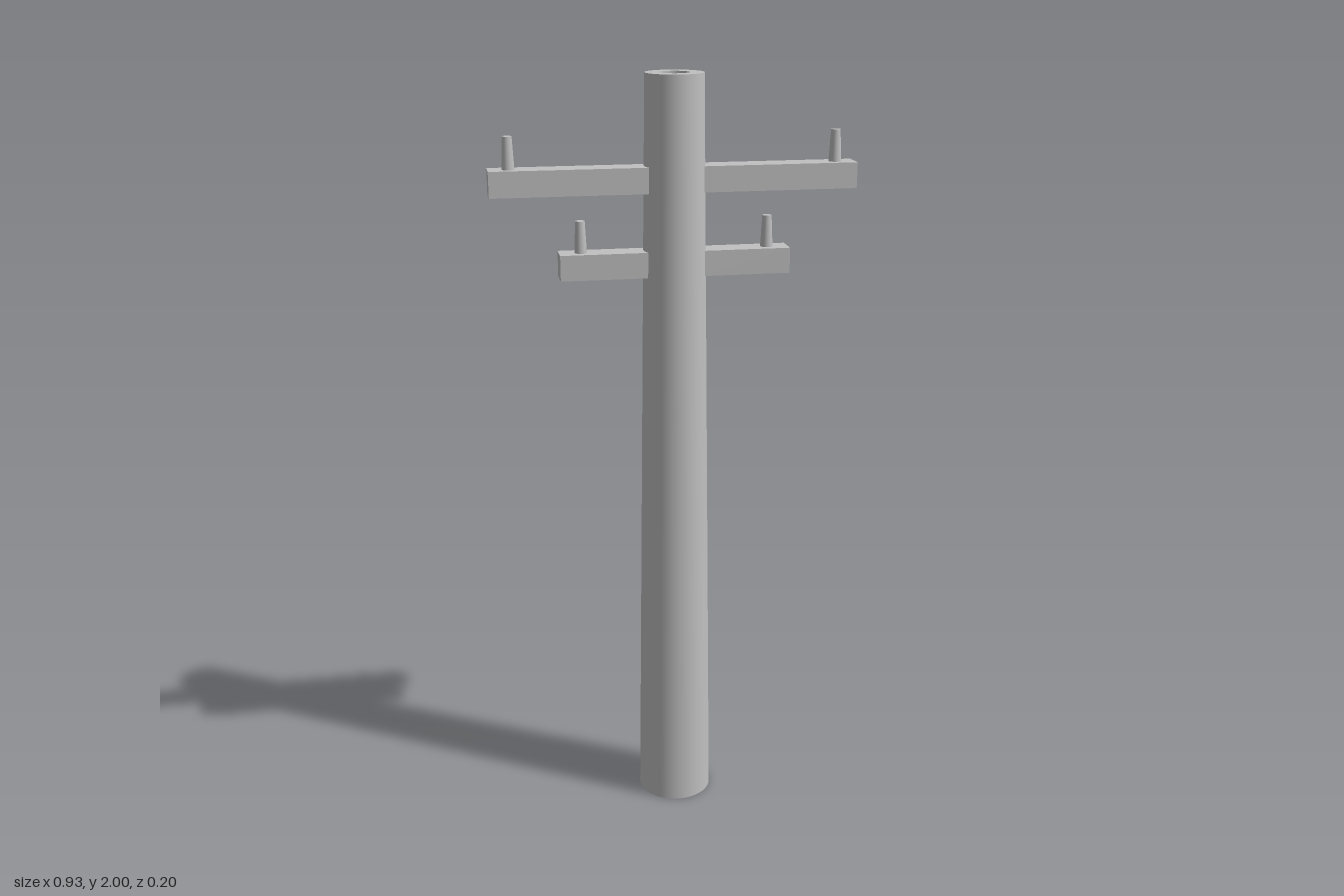
import * as THREE from 'three';
import { mergeGeometries } from 'three/addons/utils/BufferGeometryUtils.js';

export function createModel() {
  const group = new THREE.Group();
  const concrete = new THREE.MeshStandardMaterial({ color: 0xc0c0c0 });
  concrete.name = 'concrete grey';

  const add = (name, geometry, x = 0, y = 0) => {
    const mesh = new THREE.Mesh(geometry, concrete);
    mesh.name = name;
    mesh.position.set(x, y, 0);
    group.add(mesh);
  };

  // Tapered hollow pole: outer wall, top rim, bore, bottom rim (each lathed apart for crisp edges)
  const section = [[0.1, 0], [0.074, 2], [0.037, 2], [0.037, 0]].map(p => new THREE.Vector2(...p));
  const walls = section.map((p, i) => new THREE.LatheGeometry([p, section[(i + 1) % 4]], 64));
  add('pole', mergeGeometries(walls));

  // Crossarms with a tapered insulator pin near each end
  const inner = 0.058;
  const tiers = [
    { name: 'upper', tip: 0.465, bottom: 1.71, pin: 0.414 },
    { name: 'lower', tip: 0.295, bottom: 1.498, pin: 0.24 },
  ];
  const height = 0.065, depth = 0.066, pinHeight = 0.08;
  for (const { name, tip, bottom, pin } of tiers) {
    for (const [sideName, side] of [['Left', 1], ['Right', -1]]) {
      add(`${name}${sideName}Arm`, new THREE.BoxGeometry(tip - inner, height, depth),
        side * (tip + inner) / 2, bottom + height / 2);
      add(`${name}${sideName}Pin`, new THREE.CylinderGeometry(0.012, 0.016, pinHeight, 32),
        side * pin, bottom + height + pinHeight / 2);
    }
  }
  return group;
}
